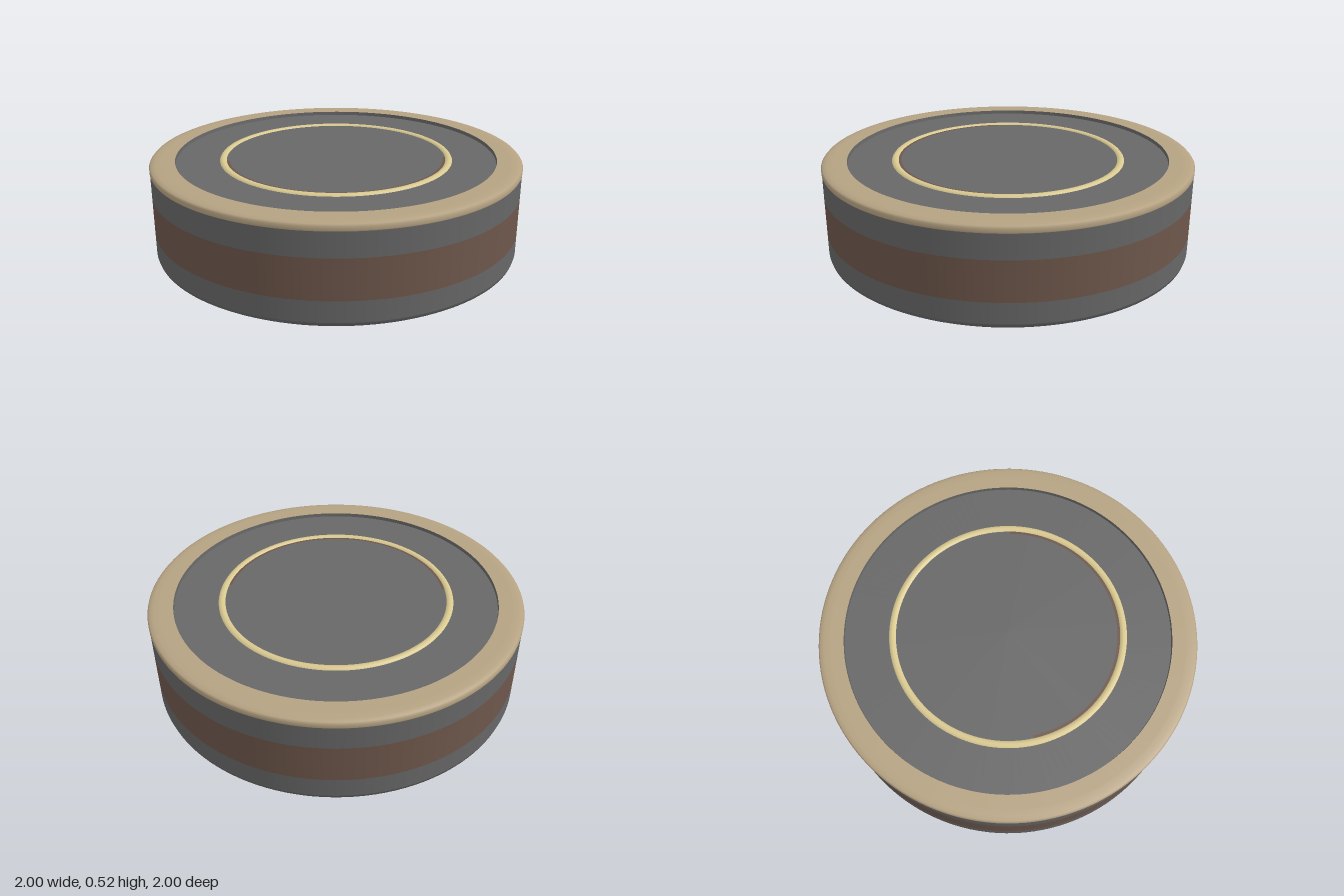
import * as THREE from 'three';

const mat = (name, color) => {
  const m = new THREE.MeshStandardMaterial({ color });
  m.name = name;
  return m;
};

export function createModel() {
  const group = new THREE.Group();
  const grey = mat('dark grey', 0x676767);
  const brown = mat('brown', 0x6e574b);
  const tan = mat('tan', 0xb5a282);
  const gold = mat('pale gold', 0xd8c890);

  // Revolve a profile; each part is its own lathe so joints stay crisp
  const lathe = (name, material, pts, start = 0, sweep = Math.PI * 2) => {
    const profile = pts.map(([r, y]) => new THREE.Vector2(r, y));
    const mesh = new THREE.Mesh(new THREE.LatheGeometry(profile, 128, start, sweep), material);
    mesh.name = name;
    group.add(mesh);
  };

  // Underside and rounded bottom edge
  lathe('underside', grey, [[0, 0.006], [0.5, 0.006], [0.96, 0.006]]);
  lathe('bottomEdge', grey, [[0.96, 0.006], [0.98, 0.009], [0.993, 0.018], [0.998, 0.035]]);

  // Stacked side bands
  lathe('lowerBand', grey, [[0.998, 0.035], [0.998, 0.145]]);
  lathe('middleBand', brown, [[0.998, 0.145], [0.998, 0.355]]);
  lathe('upperBand', grey, [[0.998, 0.355], [0.998, 0.482]]);

  // Raised rim with a softened outer edge
  lathe('rimSide', tan, [[0.998, 0.482], [1, 0.486], [1, 0.505], [0.992, 0.514], [0.97, 0.519], [0.94, 0.52]]);
  lathe('rimTop', tan, [[0.94, 0.52], [0.866, 0.52]]);
  lathe('rimInnerWall', grey, [[0.866, 0.52], [0.864, 0.5]]);

  // Recessed top face and centre disc
  lathe('topFace', grey, [[0.866, 0.5], [0.62, 0.5]]);
  lathe('centreDisc', grey, [[0.6, 0.501], [0, 0.501]]);

  // Thin inlaid ring, its worn inner shadow line and the matching ring below
  lathe('inlayRing', gold, [[0.632, 0.498], [0.626, 0.507], [0.612, 0.51], [0.598, 0.507], [0.592, 0.498]]);
  lathe('inlayInnerLine', brown, [[0.594, 0.503], [0.58, 0.503]], -0.5, 2.9);
  lathe('undersideRing', tan, [[0.618, 0.007], [0.619, 0.002], [0.627, 0.002], [0.628, 0.007]]);

  return group;
}
